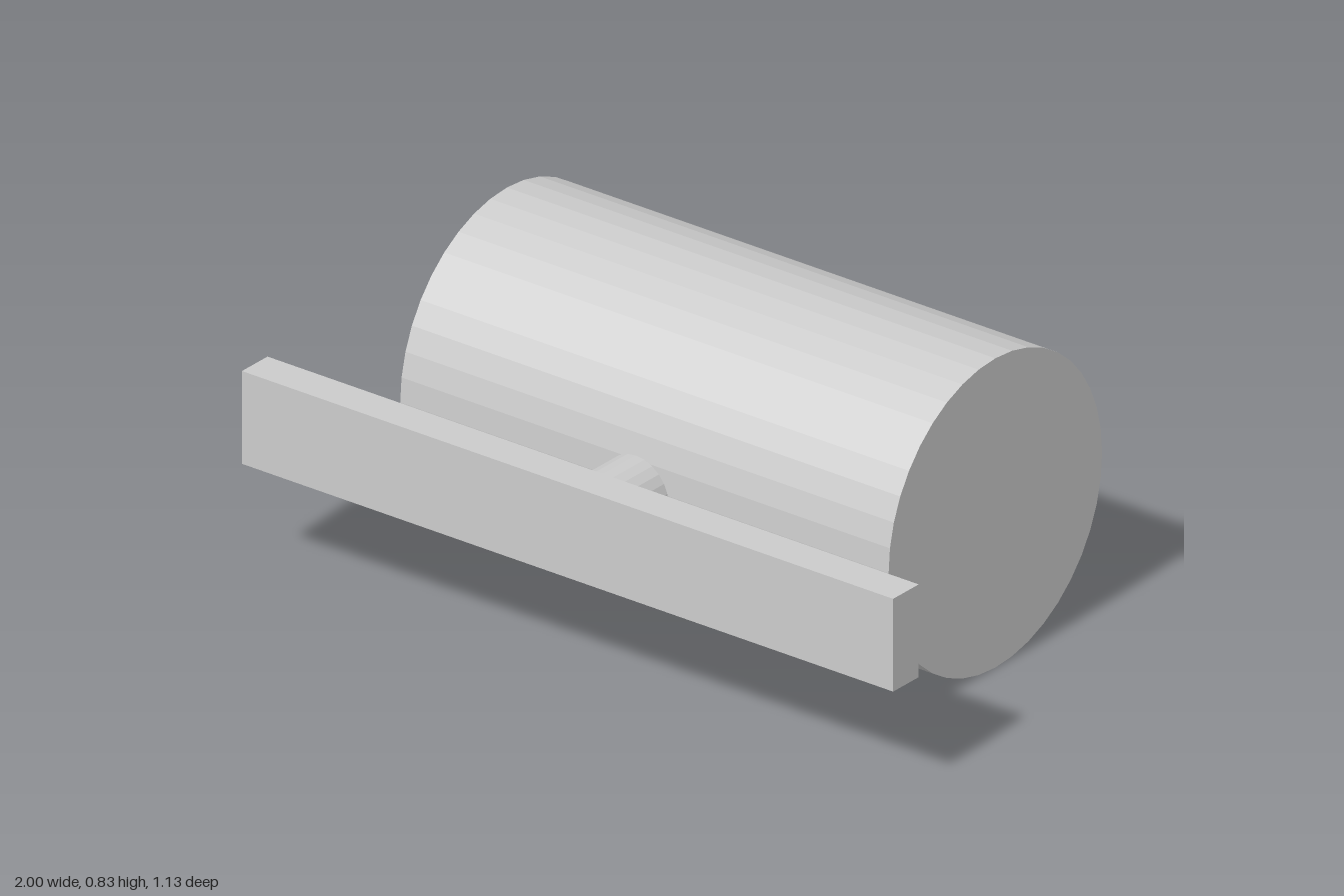
import * as THREE from 'three';

const material = new THREE.MeshStandardMaterial({ color: 0xcccccc, flatShading: true });
const AXIS_Y = 0.4167; // shared height of all part centres

function addPart(group, name, geometry, z) {
  const mesh = new THREE.Mesh(geometry, material);
  mesh.name = name;
  mesh.position.set(0, AXIS_Y, z);
  group.add(mesh);
}

export function createModel() {
  const group = new THREE.Group();
  group.name = 'drumAndBar';

  // Large drum lying along x
  addPart(group, 'drum',
    new THREE.CylinderGeometry(0.4167, 0.4167, 1.5, 40).rotateZ(Math.PI / 2), -0.15);

  // Short peg pointing from the bar towards the drum
  addPart(group, 'peg',
    new THREE.CylinderGeometry(0.1, 0.1, 0.167, 24).rotateX(Math.PI / 2), 0.3835);

  // Long flat bar across the front
  addPart(group, 'bar', new THREE.BoxGeometry(2, 0.25, 0.1), 0.517);

  return group;
}
